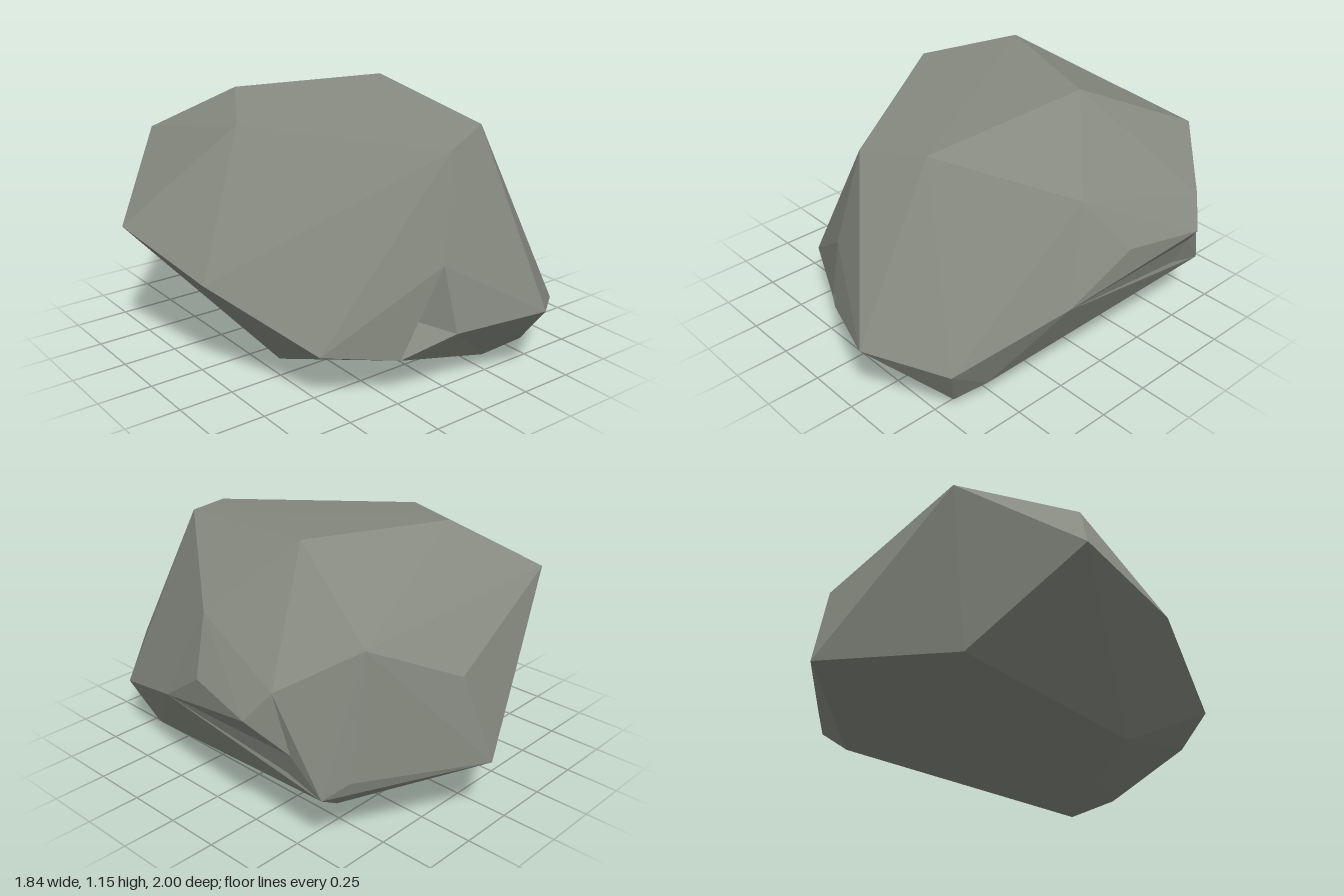
import * as THREE from 'three';
import { ConvexGeometry } from 'three/addons/geometries/ConvexGeometry.js';

// Corner points of the boulder, grouped by region; each region is a short ring of corners
const crown = {
  topLeft: [0.39, 1.15, -0.18], topFrontLeft: [0.31, 1.08, 0.6], topFront: [0.03, 1.04, 0.72],
  topRight: [-0.5, 1.07, -0.05], topBack: [-0.27, 1.13, -0.43],
  shoulderLeft: [0.58, 0.89, -0.71], shoulderBack: [0.21, 0.71, -0.9], shoulderRight: [-0.55, 0.92, -0.74],
};
const rightSide = {
  rightTip: [-0.92, 0.61, -0.35], rightCheek: [-0.81, 0.47, 0.15], rightFoot: [-0.54, 0.24, 0.6],
};
const back = { backTip: [0.12, 0.32, -1], backRight: [-0.47, 0.24, -0.62], backLeft: [0.66, 0.34, -0.71] };
const base = { bottom: [-0.06, 0, 0.34], bottomRight: [-0.47, 0.05, 0.2], bottomLeft: [0.6, 0.16, -0.58] };
const front = {
  nose: [0.34, 0.35, 1], noseLeft: [0.63, 0.255, 0.765], chinLeft: [0.54, 0.04, 0.68],
  ledgeFront: [0.61, 0.1, 0.55], ledgeMid: [0.68, 0.22, 0],
};
const notch = { notchTop: [-0.06, 0.59, 0.8], notchDeep: [-0.08, 0.38, 0.71] };
const lips = { lipRight: [-0.23, 0.19, 0.74], lipLeft: [-0.03, 0.3, 0.86], chin: [0.26, 0.06, 0.72] };
const leftSide = {
  flank: [0.69, 0.84, 0.1], spurBack: [0.84, 0.72, -0.465], spurTip: [0.92, 0.6, -0.385],
  spurFront: [0.85, 0.63, -0.03], spurRoot: [0.79, 0.43, 0.26], hollow: [0.79, 0.44, -0.51],
  heel: [0.75, 0.27, -0.64], ledgeBack: [0.74, 0.28, -0.43],
};

export function createModel() {
  const model = new THREE.Group();
  model.name = 'boulder';
  const stone = new THREE.MeshStandardMaterial({ color: 0x868a80, flatShading: true });

  // One faceted convex chunk wrapped around a set of corners
  const chunk = (name, ...sets) => {
    const corners = Object.values(Object.assign({}, ...sets));
    const geometry = new ConvexGeometry(corners.map((p) => new THREE.Vector3(...p)));
    const mesh = new THREE.Mesh(geometry, stone);
    mesh.name = name;
    model.add(mesh);
  };

  const { lipRight, lipLeft, chin } = lips;
  const { flank, spurBack, spurTip, spurFront, spurRoot, hollow, heel, ledgeBack } = leftSide;
  const { shoulderLeft, topLeft } = crown;
  const { backLeft, backTip } = back;
  const { bottom, bottomLeft } = base;
  const { ledgeMid } = front;
  const core = { centre: [0.2, 0.5, -0.1] };

  // Right and left masses meet along the front notch
  chunk('rightMass', crown, rightSide, back, base, notch, { lipRight });
  chunk('leftMass', crown, back, base, front, notch,
    { lipLeft, chin, flank, spurRoot, heel, ledgeBack });

  // Lower lip closing the notch
  chunk('lowerLip', lips, { bottom, deep: notch.notchDeep });

  // Overhanging spur on the left side, with the hollow beneath it
  chunk('spur', core, { topLeft, shoulderLeft, flank, spurBack, spurTip, spurFront, spurRoot, hollow });
  chunk('hollowWall', core, { shoulderLeft, spurBack, hollow, heel, ledgeBack, backLeft, bottomLeft });
  chunk('underSpur', core, { spurFront, spurRoot, hollow, ledgeBack, ledgeMid, backTip });
  return model;
}
